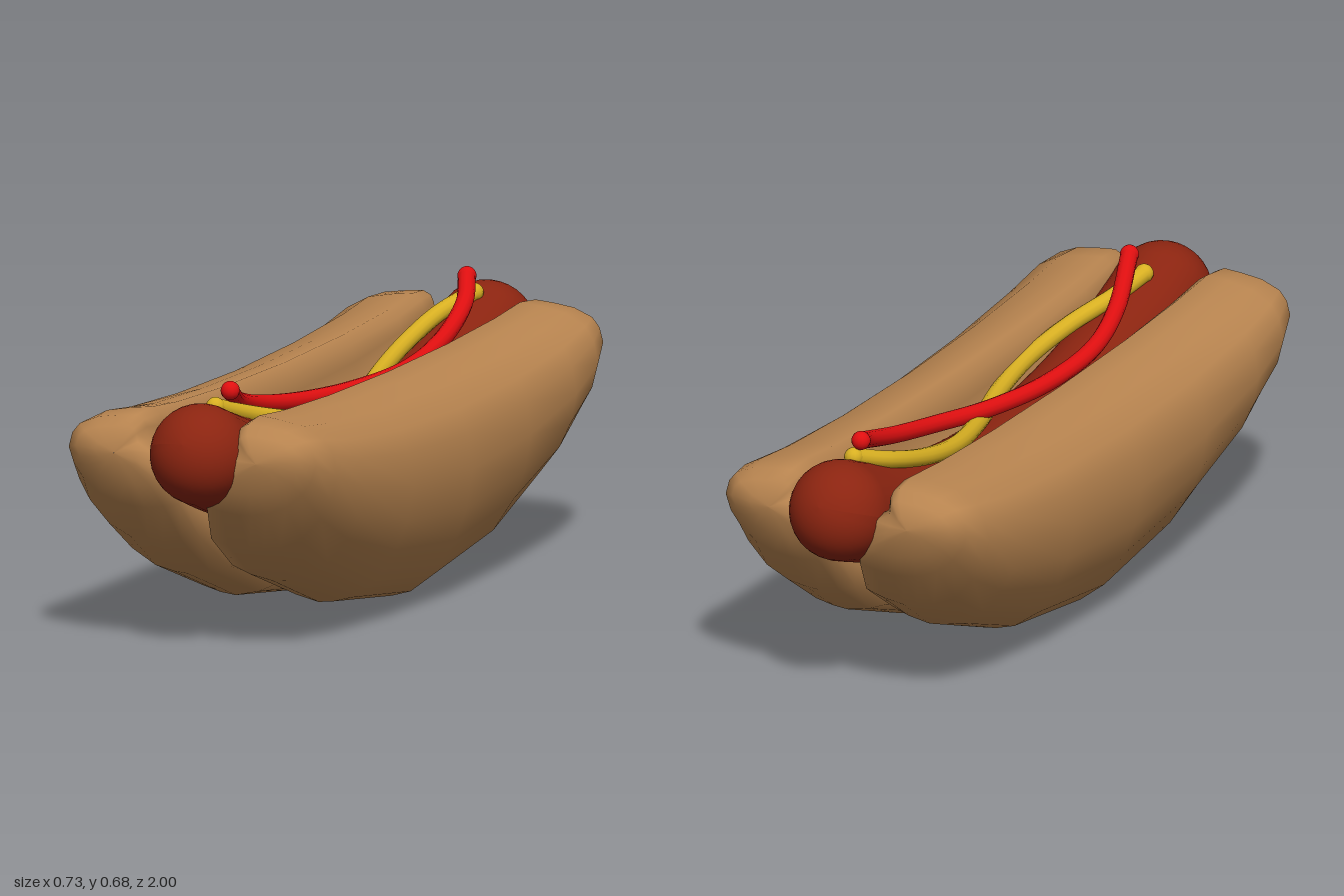
import * as THREE from 'three';

const material = (name, color) => {
  const m = new THREE.MeshStandardMaterial({ color });
  m.name = name;
  return m;
};
const bread = material('bread brown', 0xb98550);
const meat = material('sausage red', 0x8b2410);
const red = material('ketchup red', 0xe00f10);
const yellow = material('mustard yellow', 0xd8b022);

// Height of the sausage's centre line, and its radius
const R = 0.126, BALL = 0.874, BEND = 0.22;
const centreY = (z) => 0.335 + BEND * z * z;

// Cross-section of one bun half at the middle, counter-clockwise from the bottom
const SECTION = [
  [0.11, 0], [0.15, 0.005], [0.2, 0.02], [0.265, 0.07], [0.32, 0.16], [0.35, 0.24], [0.367, 0.34],
  [0.355, 0.43], [0.33, 0.49], [0.27, 0.54], [0.2, 0.56], [0.14, 0.57], [0.115, 0.545], [0.105, 0.5],
  [0.1, 0.42], [0.035, 0.33], [0.015, 0.24], [0, 0.15], [0, 0.04], [0.05, 0.015],
];
// Stations along the half length: z, bottom, top, width scale
const STATIONS = [
  [0, 0, 0.565, 1], [0.36, 0.05, 0.57, 0.99], [0.65, 0.155, 0.583, 0.965], [0.8, 0.255, 0.597, 0.92],
  [0.88, 0.36, 0.59, 0.8], [0.91, 0.42, 0.567, 0.62], [0.925, 0.47, 0.53, 0.3], [0.928, 0.5, 0.501, 0.002],
];

function bunGeometry() {
  const back = STATIONS.slice(1).reverse().map(([z, ...rest]) => [-z, ...rest]);
  const rings = [...back, ...STATIONS];
  const n = SECTION.length, cx = 0.19;
  const pos = [], index = [];
  rings.forEach(([z, bottom, top, s], i) => {
    SECTION.forEach(([x, y], j) => {
      pos.push(cx + (x - cx) * s, bottom + (y / 0.57) * (top - bottom), z);
      if (i === rings.length - 1) return;
      const a = i * n + j, b = i * n + (j + 1) % n;
      index.push(a, b, b + n, a, b + n, a + n);
    });
  });
  const g = new THREE.BufferGeometry();
  g.setAttribute('position', new THREE.Float32BufferAttribute(pos, 3));
  g.setIndex(index);
  g.computeVertexNormals();
  return g;
}

// Capsule bent upwards at both ends, cross-sections kept square to the curve
function sausageGeometry() {
  const g = new THREE.CapsuleGeometry(R, BALL * 2, 10, 28, 24);
  g.rotateX(Math.PI / 2);
  const p = g.attributes.position;
  for (let i = 0; i < p.count; i++) {
    const y = p.getY(i), z = p.getZ(i);
    const zc = THREE.MathUtils.clamp(z, -BALL, BALL);
    const angle = Math.atan(2 * BEND * zc), c = Math.cos(angle), s = Math.sin(angle);
    p.setY(i, centreY(zc) + y * c + (z - zc) * s);
    p.setZ(i, zc - y * s + (z - zc) * c);
  }
  g.computeVertexNormals();
  return g;
}

// Wavy line of sauce with round ends; path points are [x, z]
function sauce(name, mat, path, lift) {
  const group = new THREE.Group();
  group.name = name;
  const pts = path.map(([x, z]) => new THREE.Vector3(x, centreY(z) + R + lift(z), z));
  const radius = 0.022;
  const line = new THREE.Mesh(
    new THREE.TubeGeometry(new THREE.CatmullRomCurve3(pts), 60, radius, 12), mat);
  line.name = name + 'Line';
  group.add(line);
  for (const p of [pts[0], pts[pts.length - 1]]) {
    const end = new THREE.Mesh(new THREE.SphereGeometry(radius * 1.08, 14, 10), mat);
    end.position.copy(p);
    end.name = name + 'End';
    group.add(end);
  }
  return group;
}

export function createModel() {
  const model = new THREE.Group();
  model.name = 'hotDog';

  // Bun: the right half is the left one turned around
  const bun = bunGeometry();
  ['leftBun', 'rightBun'].forEach((name, i) => {
    const half = new THREE.Mesh(bun, bread);
    half.name = name;
    half.rotation.y = i * Math.PI;
    model.add(half);
  });

  const sausage = new THREE.Mesh(sausageGeometry(), meat);
  sausage.name = 'sausage';
  sausage.position.x = 0.02;
  model.add(sausage);

  // Sauces weave across each other, ketchup on top
  model.add(sauce('mustard', yellow, [
    [0.025, -0.79], [-0.02, -0.68], [-0.035, -0.52], [-0.02, -0.33], [0.03, -0.1],
    [0.085, 0.12], [0.105, 0.32], [0.08, 0.5], [0.03, 0.64], [0, 0.74],
  ], () => 0.016));
  model.add(sauce('ketchup', red, [
    [0.01, -0.78], [0.055, -0.66], [0.08, -0.45], [0.07, -0.25], [0.02, -0.05],
    [-0.03, 0.16], [-0.052, 0.36], [-0.025, 0.54], [0.04, 0.74],
  ], (z) => 0.04 + 0.035 * z * z));
  return model;
}
